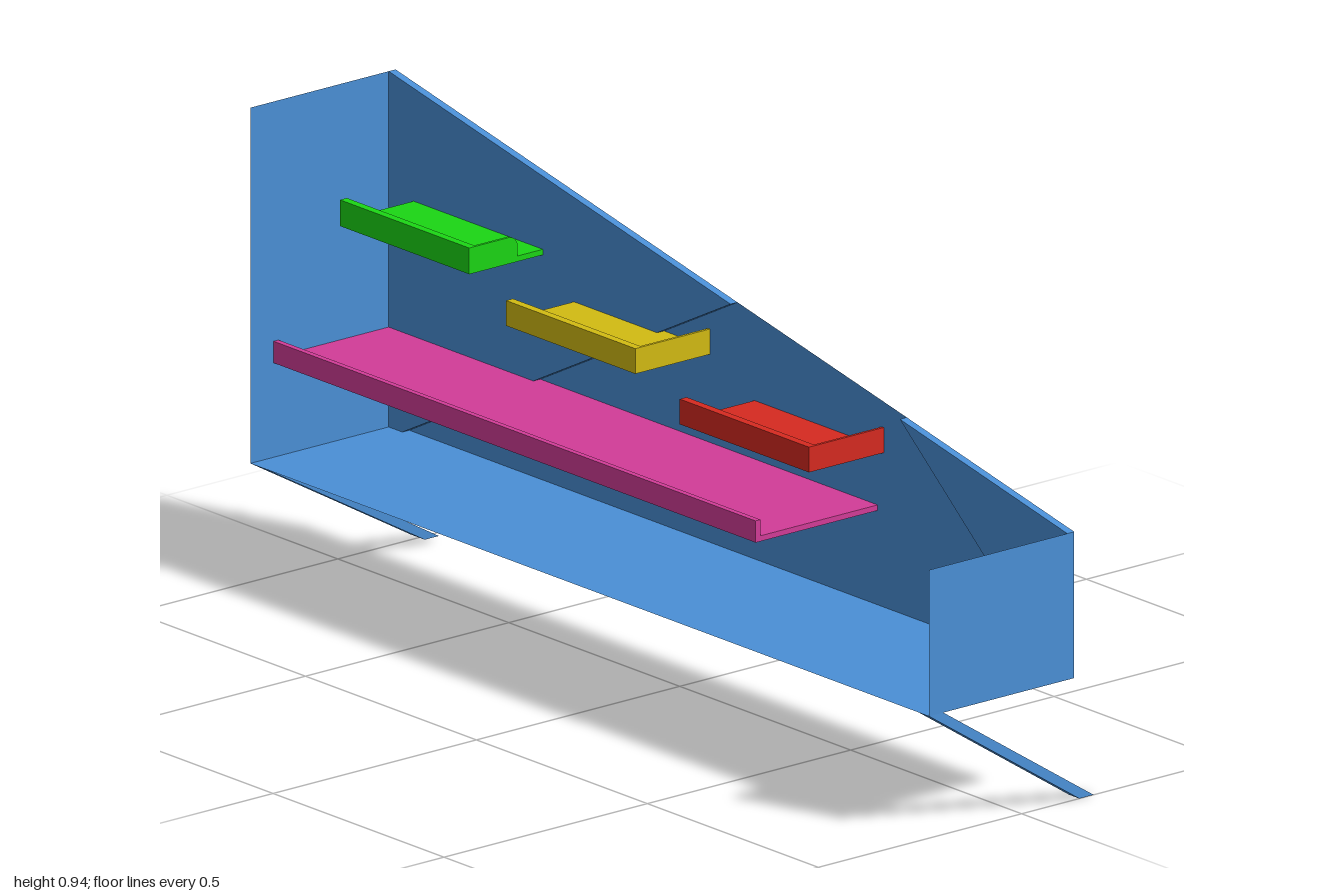
import * as THREE from 'three';

const mat = (color) => new THREE.MeshStandardMaterial({ color, flatShading: true, side: THREE.DoubleSide });
const BLUE = mat(0x4a8fd6), GREEN = mat(0x1bd614), YELLOW = mat(0xd2bb12), RED = mat(0xd62a20), PINK = mat(0xd23c98);

// Flat convex sheet through the given corners
function sheet(name, corners, material = BLUE) {
  const index = [];
  for (let i = 1; i < corners.length - 1; i++) index.push(0, i, i + 1);
  const g = new THREE.BufferGeometry();
  g.setAttribute('position', new THREE.Float32BufferAttribute(corners.flat(), 3));
  g.setIndex(index);
  g.computeVertexNormals();
  const m = new THREE.Mesh(g, material);
  m.name = name;
  return m;
}

// Box given by its limits on each axis
function slab(name, [x0, x1], [y0, y1], [z0, z1], material) {
  const m = new THREE.Mesh(new THREE.BoxGeometry(x1 - x0, y1 - y0, z1 - z0), material);
  m.position.set((x0 + x1) / 2, (y0 + y1) / 2, (z0 + z1) / 2);
  m.name = name;
  return m;
}

// Tray: floor, rail on its right edge, end plate with one rounded corner
function tray(name, { x0, x1, plateX, y0, y1, z0, z1, floor, material }) {
  const group = new THREE.Group();
  group.name = name;
  group.add(slab('trayFloor', [x0, x1], [y0, y0 + floor], [z0, z1], material));
  group.add(slab('trayRail', [x0, x0 + 0.017], [y0, y1], [z0, z1], material));
  const r = 0.022, s = new THREE.Shape();
  s.moveTo(x0, y0);
  s.lineTo(plateX, y0);
  s.lineTo(plateX, y1 - r);
  s.absarc(plateX - r, y1 - r, r, 0, Math.PI / 2, false);
  s.lineTo(x0, y1);
  const plate = new THREE.Mesh(new THREE.ExtrudeGeometry(s, { depth: 0.006, bevelEnabled: false, curveSegments: 8 }), material);
  plate.position.z = z1 - 0.006;
  plate.name = 'trayEnd';
  group.add(plate);
  return group;
}

// Slanted leg: a four-sided bar from the body's right edge down to the ground
function leg(name, footX, footY, topZ, footZ) {
  const ring = (x, y, [a, b]) => [[x, y, a], [x + 0.035, y, a], [x + 0.035, y, b], [x, y, b]];
  const top = ring(-0.215, 0.235, topZ), foot = ring(footX, footY, footZ);
  const group = new THREE.Group();
  group.name = name;
  for (let i = 0; i < 4; i++) {
    const j = (i + 1) % 4;
    group.add(sheet('legSide', [top[i], top[j], foot[j], foot[i]]));
  }
  group.add(sheet('legFoot', foot));
  return group;
}

export function createModel() {
  const model = new THREE.Group();
  const L = -0.215, IN = 0.125, OUT = 0.142, F = 0.985, B = -1, Y = 0.235;
  const at = (x, pts) => pts.map(([z, y]) => [x, y, z]);
  const strip = (name, p, q) => sheet(name, [...at(IN, [p, q]), ...at(OUT, [q, p])]);

  // Floor and end walls
  model.add(sheet('floor', [[L, Y, F], [OUT, Y, F], [OUT, Y, B], [L, Y, B]]));
  model.add(sheet('frontWall', [[L, Y, F], [OUT, Y, F], [OUT, 0.525, F], [L, 0.525, F]]));
  model.add(sheet('backWall', [[OUT, Y, B], [L, Y, B], [L, 0.94, B], [OUT, 0.94, B]]));

  // Side wall: middle panel flush, both corner panels recessed
  const a0 = [0.96, Y], a1 = [0.495, 0.628], b0 = [-0.96, Y], b1 = [0, 0.731];
  const frontTop = [F, 0.525], backTop = [B, 0.94];
  model.add(sheet('middlePanel', at(OUT, [a0, b0, b1, a1])));
  model.add(sheet('frontPanel', at(IN, [[F, Y], a0, a1, frontTop])));
  model.add(sheet('backPanel', at(IN, [b0, [B, Y], backTop, b1])));
  model.add(strip('frontStep', a0, a1));
  model.add(strip('backStep', b1, b0));
  model.add(strip('frontTopLip', frontTop, a1));
  model.add(strip('backTopLip', b1, backTop));

  // Long shelf with its rail
  const shelf = new THREE.Group();
  shelf.name = 'longShelf';
  shelf.add(slab('shelfFloor', [-0.158, 0.151], [0.422, 0.433], [-1, 0.41], PINK));
  shelf.add(slab('shelfRail', [-0.158, -0.146], [0.422, 0.465], [-1, 0.41], PINK));
  model.add(shelf);

  // Three stepped trays
  model.add(tray('lowTray', { x0: -0.042, x1: 0.161, plateX: 0.161, y0: 0.541, y1: 0.591, z0: 0.05, z1: 0.428, floor: 0.008, material: RED }));
  model.add(tray('middleTray', { x0: -0.042, x1: 0.161, plateX: 0.161, y0: 0.608, y1: 0.658, z0: -0.458, z1: -0.08, floor: 0.012, material: YELLOW }));
  model.add(tray('highTray', { x0: -0.056, x1: 0.138, plateX: 0.063, y0: 0.69, y1: 0.742, z0: -0.927, z1: -0.549, floor: 0.011, material: GREEN }));

  // Legs
  model.add(leg('frontLeg', 0.142, 0, [0.955, 0.985], [0.97, 1]));
  model.add(leg('backLeg', 0.18, 0.01, [-1, -0.96], [-1, -0.96]));
  return model;
}
